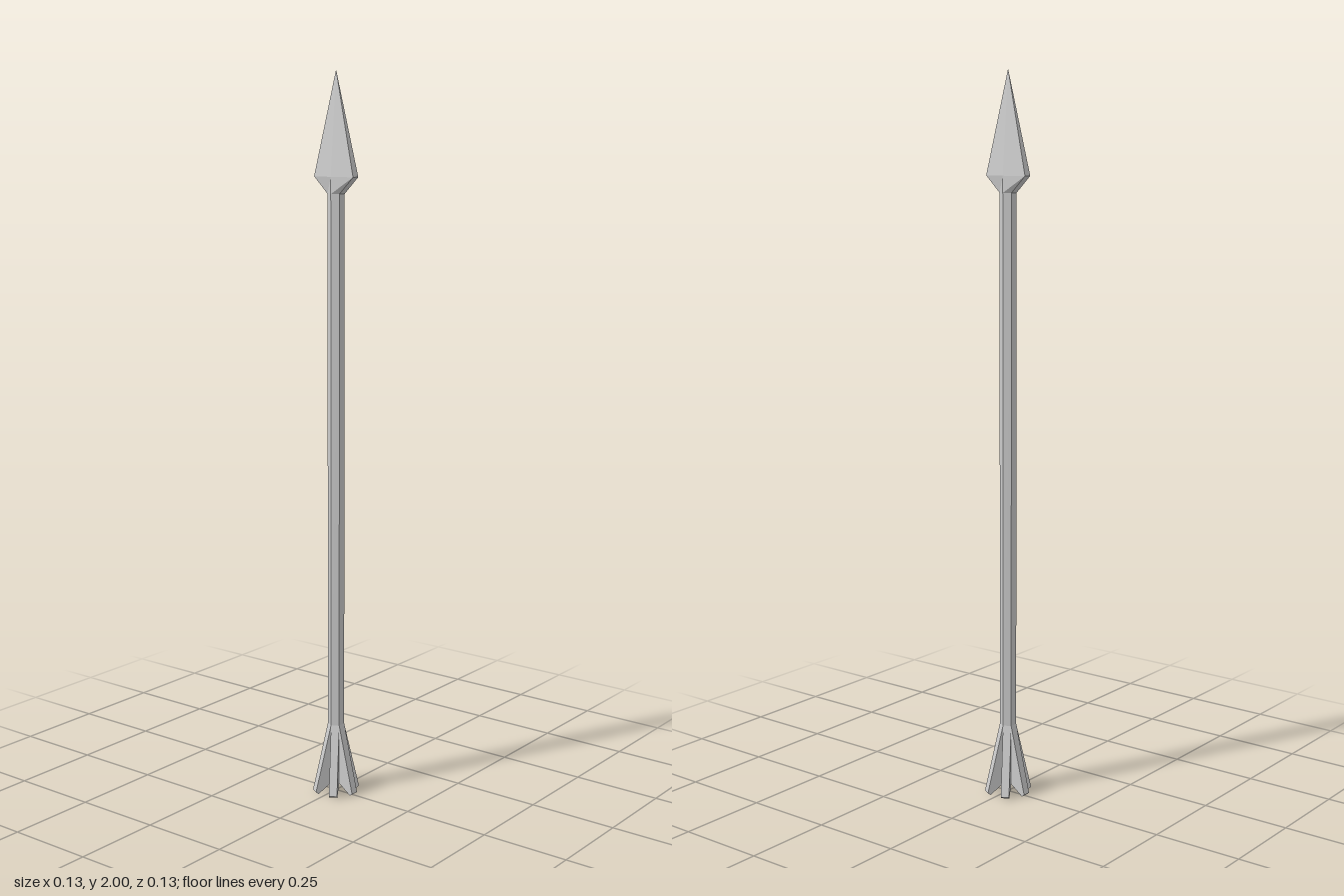
import * as THREE from 'three';

const material = new THREE.MeshStandardMaterial({ color: 0xcccccc, flatShading: true });
const R = 0.023;                      // shaft corner radius
const A = R * Math.cos(Math.PI / 6);  // shaft flat radius

// Six-sided ring: two narrow side faces at +-x, ridges at +-z
const ring = (y, halfX, halfSide, ridge) => [
  [halfX, y, halfSide], [halfX, y, -halfSide], [0, y, -ridge],
  [-halfX, y, -halfSide], [-halfX, y, halfSide], [0, y, ridge],
];

// Skin between successive rings, listed bottom to top
function loft(rings) {
  const points = [];
  for (let i = 0; i < rings.length - 1; i++) {
    for (let j = 0; j < 6; j++) {
      const k = (j + 1) % 6;
      const [a, b, c, d] = [rings[i][j], rings[i][k], rings[i + 1][k], rings[i + 1][j]];
      points.push(...a, ...b, ...c, ...a, ...c, ...d);
    }
  }
  const geometry = new THREE.BufferGeometry();
  geometry.setAttribute('position', new THREE.Float32BufferAttribute(points, 3));
  geometry.computeVertexNormals();
  return geometry;
}

function addMesh(parent, name, geometry) {
  const mesh = new THREE.Mesh(geometry, material);
  mesh.name = name;
  parent.add(mesh);
  return mesh;
}

export function createModel() {
  const model = new THREE.Group();
  model.name = 'arrow';

  // Hexagonal shaft
  const bottom = 0.03, neck = 1.68;
  const shaft = addMesh(model, 'shaft', new THREE.CylinderGeometry(R, R, neck - bottom, 6));
  shaft.position.y = (bottom + neck) / 2;

  // Arrowhead: flares from the shaft, then tapers to the tip
  addMesh(model, 'arrowhead', loft([
    ring(neck, A, R / 2, R),
    ring(1.725, 0.065, R / 2, R),
    ring(2, 0.0005, 0.0001, 0.0002),
  ]));

  // Six swept fins, one on each flat of the shaft
  const profile = new THREE.Shape([
    [A - 0.003, 0.2], [A - 0.003, bottom], [0.058, 0], [0.066, 0.006], [A, 0.2],
  ].map(([x, y]) => new THREE.Vector2(x, y)));
  const finGeometry = new THREE.ExtrudeGeometry(profile, { depth: R, bevelEnabled: false });
  finGeometry.translate(0, 0, -R / 2);
  const fins = new THREE.Group();
  fins.name = 'fins';
  for (let i = 0; i < 6; i++) {
    addMesh(fins, 'fin', finGeometry).rotation.y = (i * Math.PI) / 3;
  }
  model.add(fins);

  return model;
}
